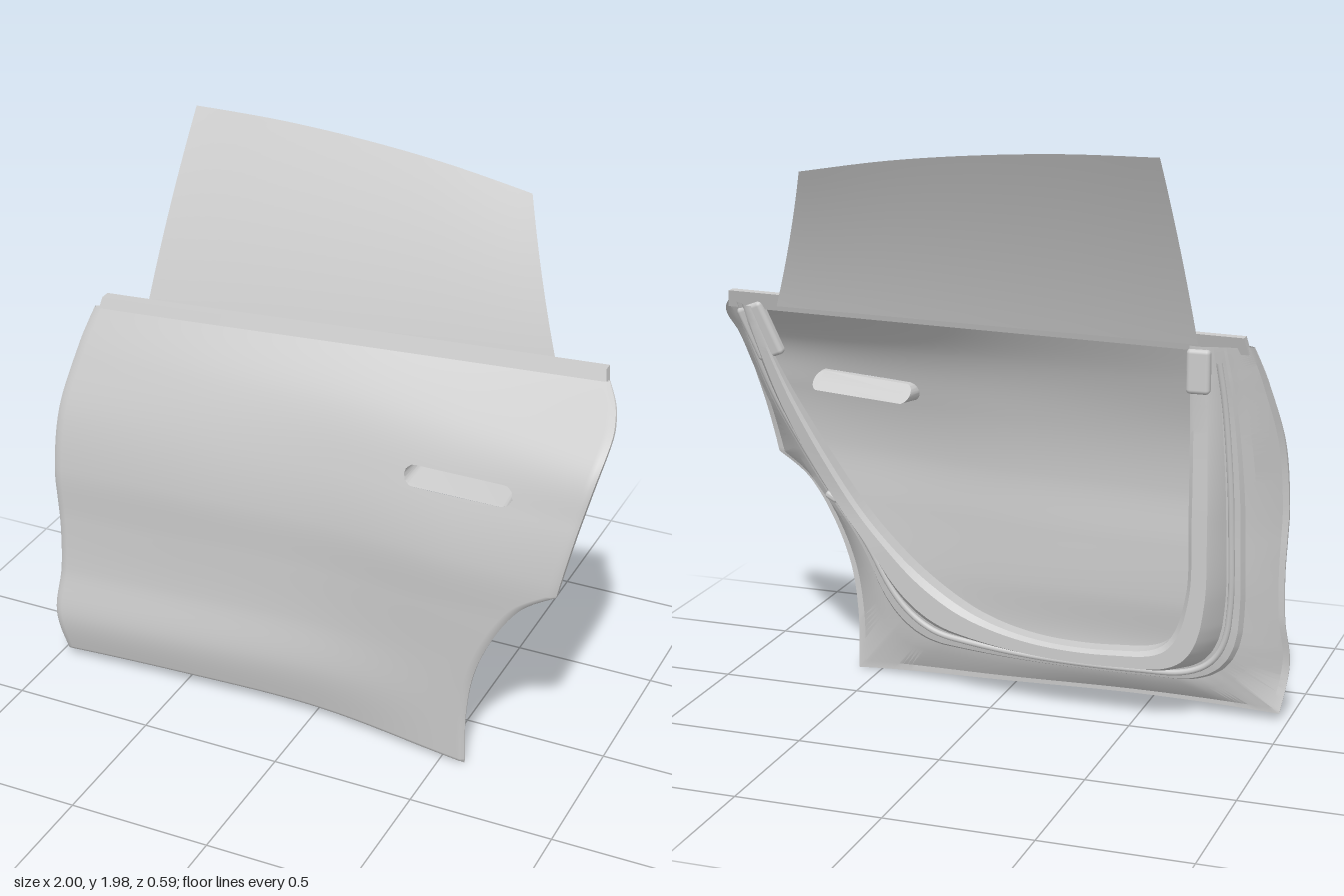
import * as THREE from 'three';
import { toCreasedNormals } from 'three/addons/utils/BufferGeometryUtils.js';
import { RoundedBoxGeometry } from 'three/addons/geometries/RoundedBoxGeometry.js';

const material = new THREE.MeshStandardMaterial({ color: 0xcccccc, side: THREE.DoubleSide });
const lerp = THREE.MathUtils.lerp;
const V = (x, y, z = 0) => new THREE.Vector3(x, y, z);
const spline = (pts) => new THREE.SplineCurve(pts.map((p) => new THREE.Vector2(...p)));

// Bulge of the door skin: depth at x = -1..1 (rows) and y = 0..1.4 (columns)
const depth = [
  [0.215, 0.258, 0.232, 0.224, 0.226, 0.198, 0.13, 0.05],
  [0.205, 0.245, 0.222, 0.218, 0.221, 0.19, 0.121, 0.018],
  [0.195, 0.227, 0.215, 0.215, 0.217, 0.184, 0.114, -0.02],
  [0.24, 0.248, 0.256, 0.265, 0.27, 0.23, 0.145, -0.063],
  [0.256, 0.27, 0.285, 0.294, 0.3, 0.27, 0.19, -0.108],
];
function cubic(a, t) {
  const i = Math.max(0, Math.min(a.length - 2, Math.floor(t))), f = t - i;
  const b = a[i], c = a[i + 1];
  const p = i > 0 ? a[i - 1] : 2 * b - c;
  const n = i + 2 < a.length ? a[i + 2] : 2 * c - b;
  return b + 0.5 * f * (c - p + f * (2 * p - 5 * b + 4 * c - n + f * (3 * (b - c) + n - p)));
}
const skinZ = (x, y) => cubic(depth.map((row) => cubic(row, (y - 0.034 * x) / 0.2)), (x + 1) * 2);

// Side edges of the skin; the rear one has a wheel arch and a straight upper part
const leftEdge = spline([[-0.97, 0.025], [-0.995, 0.2], [-0.98, 0.36], [-0.977, 0.52], [-0.982, 0.65],
  [-0.985, 0.78], [-0.972, 1.0], [-0.93, 1.2], [-0.908, 1.28], [-0.89, 1.335]]);
const archEdge = spline([[0.585, 0], [0.587, 0.2], [0.615, 0.38], [0.685, 0.55], [0.78, 0.69], [0.9, 0.775]]);
const rearEdge = spline([[0.9, 0.775], [0.948, 1.0], [0.998, 1.24], [0.985, 1.33], [0.925, 1.395]]);

// Point on the skin: u runs left to right, v bottom to top
function skinPoint(u, v) {
  const l = leftEdge.getPoint(v);
  const r = v * 9 < 5 ? archEdge.getPoint(v * 9 / 5) : rearEdge.getPoint((v * 9 - 5) / 4);
  const x = lerp(l.x, r.x, u);
  const y = lerp(l.y, r.y, u) + (1 - v) * 0.11 * u * (1 - u);
  const rim = u < 1e-6 || u > 1 - 1e-6 || v < 1e-6;
  return V(x, y, skinZ(x, y) - (rim ? 0.01 : 0));
}

// Surface through a grid of points, with an optional test for dropped cells
function grid(nu, nv, fn, drop = () => false) {
  const pos = [], index = [];
  for (let j = 0; j <= nv; j++) for (let i = 0; i <= nu; i++) pos.push(...fn(i / nu, j / nv, i, j).toArray());
  for (let j = 0; j < nv; j++) for (let i = 0; i < nu; i++) {
    const a = j * (nu + 1) + i, b = a + 1, c = a + nu + 1, d = c + 1;
    if (!drop([a, b, c, d])) index.push(a, b, d, a, d, c);
  }
  const g = new THREE.BufferGeometry();
  g.setAttribute('position', new THREE.Float32BufferAttribute(pos, 3));
  g.setIndex(index);
  g.computeVertexNormals();
  return g;
}

// Handle slot: a slightly tilted capsule; lean makes the lower side deeper
const slot = { x: 0.527, y: 1.06, half: 0.16, r: 0.035, tilt: 0.05 };
function slotPoint(a, scale, lift, back, lean) {
  const end = (Math.cos(a) >= 0 ? 1 : -1) * slot.half;
  const lx = end + Math.cos(a) * slot.r * scale, ly = Math.sin(a) * slot.r * scale;
  const x = slot.x + lx, y = slot.y + ly + lx * slot.tilt + lift;
  return V(x, y, skinZ(x, y) - back + lean * Math.sin(a));
}

function outerSkin() {
  const inside = new Set();
  const nu = 120, nv = 144;
  return grid(nu, nv, (u, v, i, j) => {
    const p = skinPoint(u, v);
    // vertices inside the slot are pushed out to its rim
    const lx = p.x - slot.x, ly = p.y - slot.y - lx * slot.tilt;
    const cx = THREE.MathUtils.clamp(lx, -slot.half, slot.half);
    const d = Math.hypot(lx - cx, ly);
    if (d < slot.r) {
      inside.add(j * (nu + 1) + i);
      const k = slot.r / Math.max(d, 1e-5);
      const nx = cx + (lx - cx) * k, ny = ly * k;
      p.set(slot.x + nx, slot.y + ny + nx * slot.tilt, 0);
      p.z = skinZ(p.x, p.y);
    }
    return p;
  }, (cell) => cell.every((k) => inside.has(k)));
}

// Door jamb: steps from the skin's rim (a = 0) to the hoop around the opening (a = 1)
const hoop = new THREE.CatmullRomCurve3([
  V(-0.69, 1.34, -0.02), V(-0.69, 1.12), V(-0.69, 0.75), V(-0.685, 0.48), V(-0.61, 0.295),
  V(-0.42, 0.255), V(-0.18, 0.26), V(0.03, 0.31), V(0.2, 0.4), V(0.36, 0.53),
  V(0.52, 0.715), V(0.7, 1.05, -0.05), V(0.83, 1.38, -0.1),
], false, 'catmullrom', 0.5);
const rimPoint = (s) => (s < 1 ? skinPoint(0, 1 - s) : s < 2 ? skinPoint(s - 1, 0) : skinPoint(1, s - 2));
function jambPoint(s, a, w) {
  // corners of the rim are rounded off on the way inwards
  const reach = Math.min(0.16 * THREE.MathUtils.clamp((a - 0.1) * 4, 0, 1), s, 3 - s);
  const o = V(0, 0);
  for (let k = -3; k <= 3; k++) o.addScaledVector(rimPoint(s + reach * k / 3), 1 / 7);
  const h = hoop.getPoint(Math.min(1, s / 3));
  const y = lerp(o.y, h.y, a);
  // the steps lie further forward low down
  const c = THREE.MathUtils.clamp((y - 0.8) * 0.33, -0.22, 0.14);
  return V(lerp(o.x, h.x, a), y, lerp(o.z, h.z, w + c * 4 * w * (1 - w)));
}
const jambProfile = [[0, 0], [0, 0.07], [0.07, 0.09], [0.3, 0.42], [0.42, 0.48], [0.46, 0.58],
  [0.62, 0.62], [0.7, 0.88], [0.77, 1], [0.95, 1], [1, 0.94], [1, 0.75]];

// Window glass, leaning inwards and bowed
const glassTop = spline([[-0.655, 1.983], [-0.35, 1.98], [-0.05, 1.962], [0.25, 1.93], [0.555, 1.88]]);
function glassPoint(u, v) {
  const t = glassTop.getPoint(u);
  const z = lerp(lerp(0.0, -0.09, u), -0.288 - 0.03 * u * (1 - u), v) + 0.07 * v * (1 - v);
  return V(lerp(lerp(-0.713, 0.735, u), t.x, v), lerp(lerp(1.34, 1.385, u), t.y, v), z);
}

// Belt trim: a long box bent along the top of the skin
function beltTrim() {
  const g = new THREE.BoxGeometry(1.795, 0.065, 0.036, 40, 1, 1);
  const p = g.attributes.position;
  for (let i = 0; i < p.count; i++) {
    const up = p.getY(i) > 0;
    const x = 0.0225 + p.getX(i) * (up ? 0.987 : 1);
    const line = 1.365 + 0.033 * x;
    p.setXYZ(i, x, line + (up ? 0.035 : -0.025),
      skinZ(x, line) + p.getZ(i) - 0.012 - (up ? 0.022 : 0));
  }
  return toCreasedNormals(g, 0.5);
}

export function createModel() {
  const door = new THREE.Group();
  door.name = 'carDoor';
  const add = (name, geometry) => {
    const mesh = new THREE.Mesh(geometry, material);
    mesh.name = name;
    door.add(mesh);
    return mesh;
  };

  add('outerSkin', outerSkin());
  add('windowGlass', grid(32, 16, glassPoint));
  add('beltTrim', beltTrim());

  const n = jambProfile.length - 1;
  add('doorJamb', toCreasedNormals(
    grid(270, n, (t, v, i, j) => jambPoint(t * 3, ...jambProfile[j])), 0.45));

  // Rubber seal following the step of the jamb
  const sealPath = [];
  for (let i = 0; i <= 60; i++) sealPath.push(jambPoint(0.08 + i / 60 * 2.86, 0.56, 0.62));
  add('doorSeal', new THREE.TubeGeometry(new THREE.CatmullRomCurve3(sealPath), 160, 0.011, 8));

  // Pocket behind the handle slot: sloping floor, back wall leaning forward at the top
  const pocket = [[1, 0, 0, 0], [0.97, 0.001, 0.01, 0], [0.78, 0.007, 0.07, 0.045], [0, 0.007, 0.07, 0]];
  add('handlePocket', toCreasedNormals(
    grid(48, 3, (t, v, i, j) => slotPoint((t + 1 / 96) * Math.PI * 2, ...pocket[j])), 0.6));

  // Brackets where the hoop meets the belt
  const frontBracket = add('frontBracket', new RoundedBoxGeometry(0.08, 0.15, 0.04, 3, 0.015));
  frontBracket.position.set(-0.72, 1.255, -0.01);
  const rearBracket = add('rearBracket', new RoundedBoxGeometry(0.1, 0.2, 0.04, 3, 0.015));
  rearBracket.position.set(0.81, 1.29, -0.058);
  rearBracket.rotation.set(-0.15, 0, -0.38);

  // Small stop on the rear jamb
  const stop = add('doorStop', new RoundedBoxGeometry(0.05, 0.025, 0.07, 2, 0.01));
  stop.position.copy(jambPoint(2.47, 0.68, 0.8));
  stop.rotation.z = 0.5;

  return door;
}
